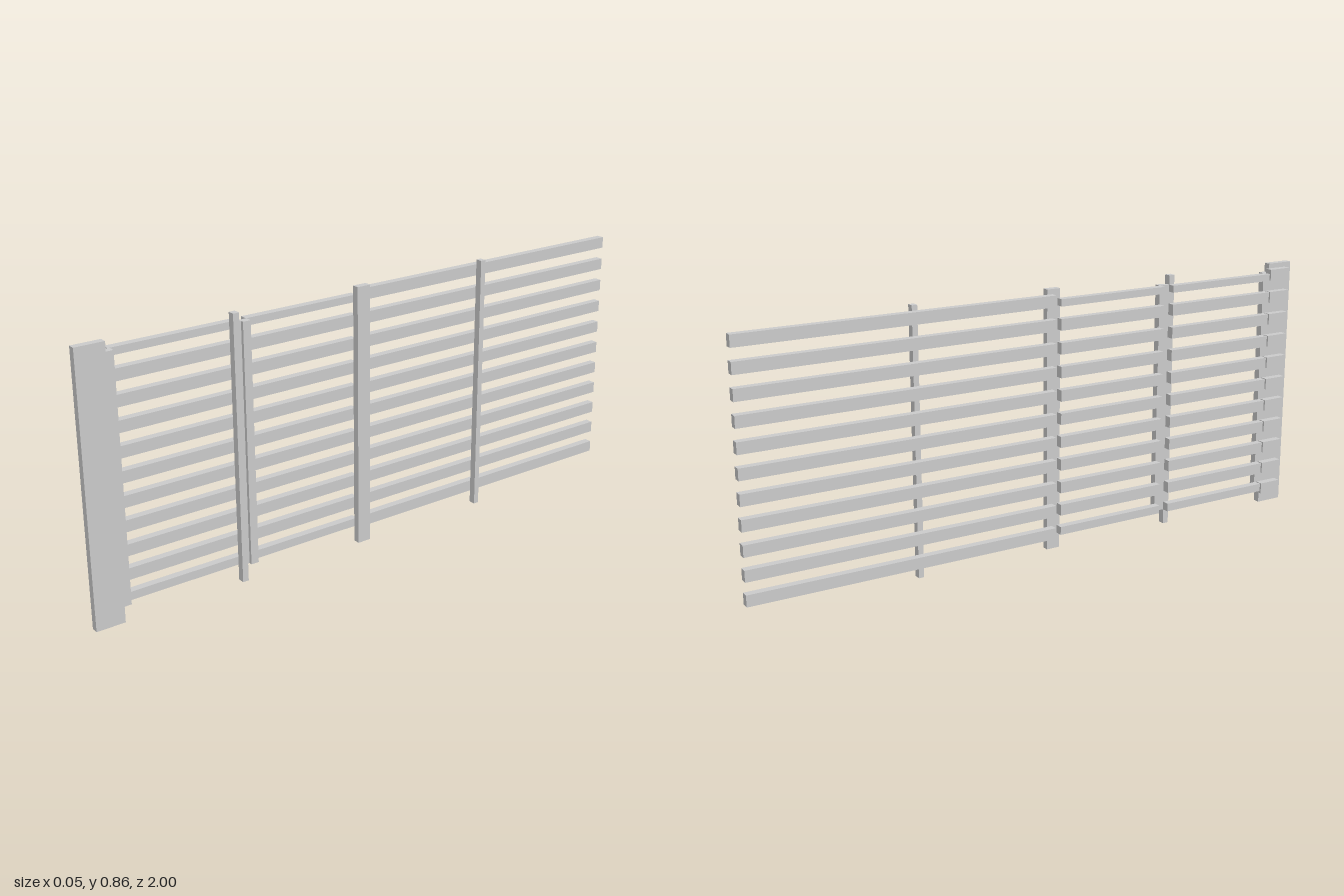
import * as THREE from 'three';

export function createModel() {
  const model = new THREE.Group();
  const material = new THREE.MeshStandardMaterial({ color: 0xcccccc, flatShading: true });

  // Box given by its extents along each axis
  function bar(parent, name, [x0, x1], [y0, y1], [z0, z1]) {
    const mesh = new THREE.Mesh(new THREE.BoxGeometry(x1 - x0, y1 - y0, z1 - z0), material);
    mesh.position.set((x0 + x1) / 2, (y0 + y1) / 2, (z0 + z1) / 2);
    mesh.name = name;
    parent.add(mesh);
  }

  const slatX = [-0.025, 0], postX = [0, 0.023];
  const fullY = [0, 0.856], innerY = [0.051, 0.826];
  const slatCount = 11, pitch = 0.0762, firstY = 0.041, slatHeight = 0.037;

  // Runs of horizontal slats; trimmed runs have thinner outer slats
  const runs = [
    { name: 'longSlats', z: [-1, 0.042] },
    { name: 'middleSlats', z: [0.06, 0.452], trimmed: true },
    { name: 'frontSlats', z: [0.487, 0.89], trimmed: true },
    { name: 'endSlats', z: [0.895, 0.975] },
  ];
  for (const { name, z, trimmed } of runs) {
    const run = new THREE.Group();
    run.name = name;
    for (let i = 0; i < slatCount; i++) {
      let y0 = firstY + i * pitch, y1 = y0 + slatHeight;
      if (trimmed) {
        y0 = Math.max(y0, innerY[0]);
        y1 = Math.min(y1, innerY[1]);
      }
      bar(run, 'slat', slatX, [y0, y1], z);
    }
    model.add(run);
  }

  // Full-height posts on the +x side
  bar(model, 'endPost', postX, fullY, [0.907, 1]);
  bar(model, 'frontPost', postX, fullY, [0.488, 0.508]);
  bar(model, 'middlePost', postX, fullY, [0.023, 0.07]);
  bar(model, 'rearPost', postX, fullY, [-0.44, -0.422]);

  // Shorter stiles beside the posts, with a recessed web at the front post
  bar(model, 'endStile', postX, innerY, [0.884, 0.907]);
  bar(model, 'frontStile', postX, innerY, [0.45, 0.476]);
  bar(model, 'frontWeb', [0, 0.012], innerY, [0.476, 0.488]);

  return model;
}
